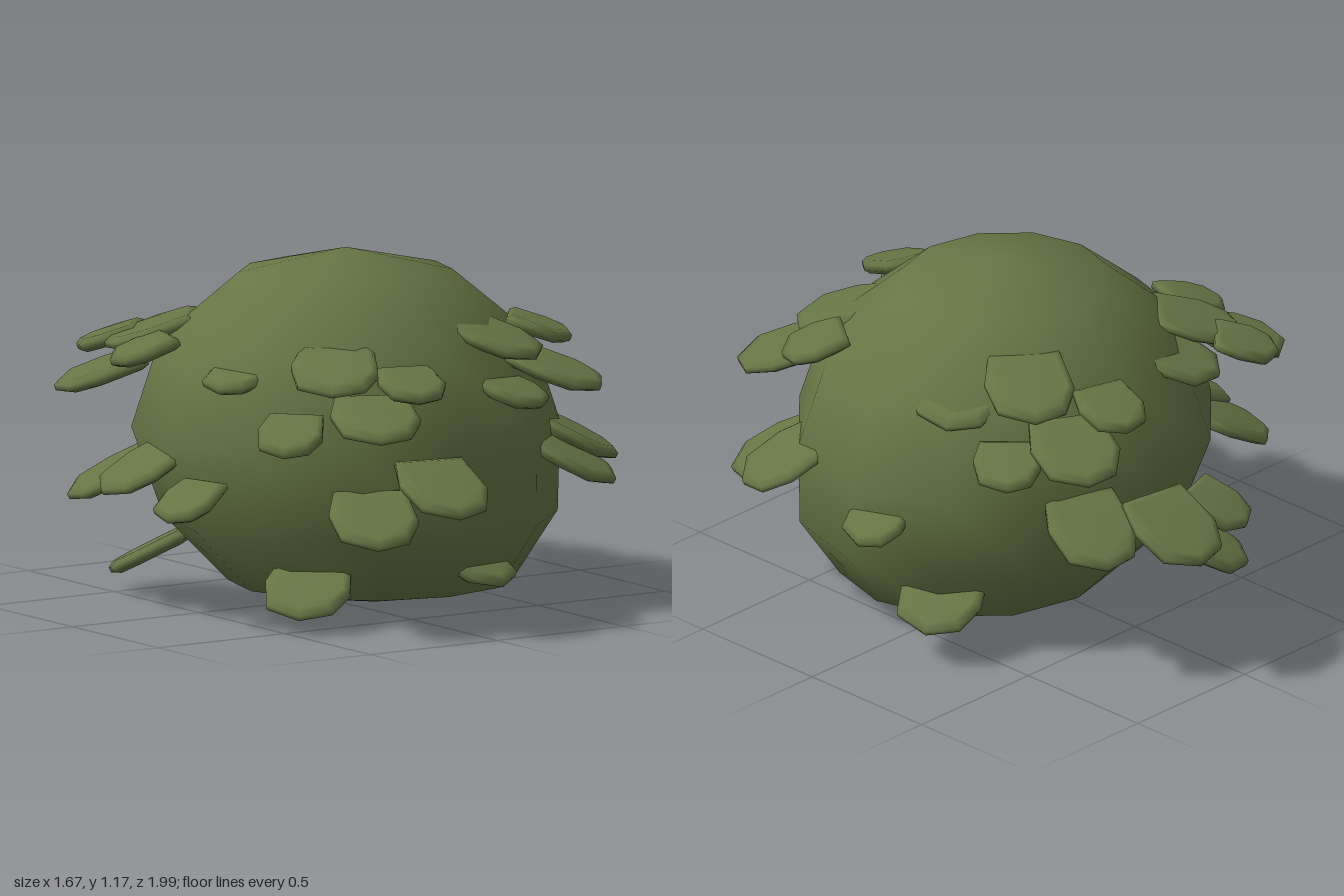
import * as THREE from 'three';
import { mergeVertices } from 'three/addons/utils/BufferGeometryUtils.js';

const green = new THREE.MeshStandardMaterial({ color: 0x667545 });
green.name = 'leaf green';

// Weld shared corners so the surface shades smoothly
function smooth(source) {
  source.deleteAttribute('uv');
  source.deleteAttribute('normal');
  const geo = mergeVertices(source);
  geo.computeVertexNormals();
  return geo;
}

// Twelve-sided ball, fuller below the middle, its underside sagging forward and left
function bodyGeometry() {
  const ball = new THREE.SphereGeometry(1, 12, 6);
  const pos = ball.attributes.position;
  for (let i = 0; i < pos.count; i++) {
    const x = pos.getX(i), y = pos.getY(i), z = pos.getZ(i);
    const ring = Math.max(Math.hypot(x, z), 1e-6);
    const fullness = y < -0.01 ? ring ** -0.42 : 1;
    const sag = Math.max(0, -y);
    pos.setXYZ(i, 0.04 + 0.06 * sag + 0.71 * x * fullness, 0.585 + 0.585 * y, 0.055 + 0.085 * sag + 0.685 * z * fullness);
  }
  return smooth(ball);
}

// Angular leaf of unit size with a thin tapered rim, pointing along +z
function leafGeometry() {
  const outline = [[-0.34, -0.42], [0.34, -0.42], [0.42, 0.05], [0.3, 0.32], [0, 0.42], [-0.34, 0.27], [-0.42, -0.1]];
  const shape = new THREE.Shape(outline.map(([x, y]) => new THREE.Vector2(x, y)));
  const geo = new THREE.ExtrudeGeometry(shape, {
    depth: 0.05, bevelThickness: 0.035, bevelSize: 0.08, bevelSegments: 1,
  });
  geo.translate(0, 0, -0.025);
  geo.rotateX(Math.PI / 2);
  return smooth(geo);
}

// Centres of the broad leaves
const broadLeaves = [
  [0.17, 0.54, -0.855], [-0.26, 0.87, -0.43],
  [0.37, 0.96, -0.38], [0.41, 0.83, -0.63], [0.36, 0.53, -0.66], [0.48, 0.9, -0.17],
  [0.57, 0.2, -0.17], [0.69, 0.54, 0.43], [0.59, 0.49, 0.57],
  [0.31, 0.91, 0.54], [0.49, 0.8, 0.63], [0.2, 0.19, 0.55],
  [-0.35, 0.86, 0.57], [-0.33, 0.73, 0.78], [-0.11, 0.49, 0.855], [-0.31, 0.39, 0.74], [-0.39, 0.13, 0.47],
  [-0.47, 0.89, -0.33], [-0.67, 0.77, -0.33], [-0.69, 0.49, -0.06], [-0.67, 0.44, -0.27],
  [-0.4, 0.14, -0.43],
];

// Centres of the small leaves
const smallLeaves = [
  [-0.21, 0.43, -0.68], [0.23, 0.92, -0.62], [0.56, 0.77, -0.46],
  [0.72, 0.48, -0.02], [0.55, 0.91, 0.43], [0.3, 0.75, 0.66],
  [-0.18, 0.83, 0.77], [-0.54, 0.67, 0.59],
  [-0.62, 0.86, -0.16], [-0.52, 0.85, -0.5], [-0.71, 0.42, 0.24],
  [-0.52, 0.82, 0.25],
];

export function createModel() {
  const model = new THREE.Group();
  model.name = 'bush';

  const body = new THREE.Mesh(bodyGeometry(), green);
  body.name = 'foliageBody';
  model.add(body);

  const geo = leafGeometry();
  const addLeaves = (name, centres, width, length) => {
    const cluster = new THREE.Group();
    cluster.name = name;
    for (const [x, y, z] of centres) {
      const leaf = new THREE.Mesh(geo, green);
      leaf.name = 'leaf';
      leaf.position.set(x, y, z);
      leaf.scale.set(width, 0.38, length);
      // Point outward from the bush and droop at the tip, more so lower down
      leaf.rotation.order = 'YXZ';
      leaf.rotation.set(y > 0.7 ? 0.33 : 0.48, Math.atan2(x - 0.04, z - 0.05), 0);
      cluster.add(leaf);
    }
    model.add(cluster);
  };
  addLeaves('broadLeaves', broadLeaves, 0.29, 0.31);
  addLeaves('smallLeaves', smallLeaves, 0.22, 0.22);
  return model;
}
